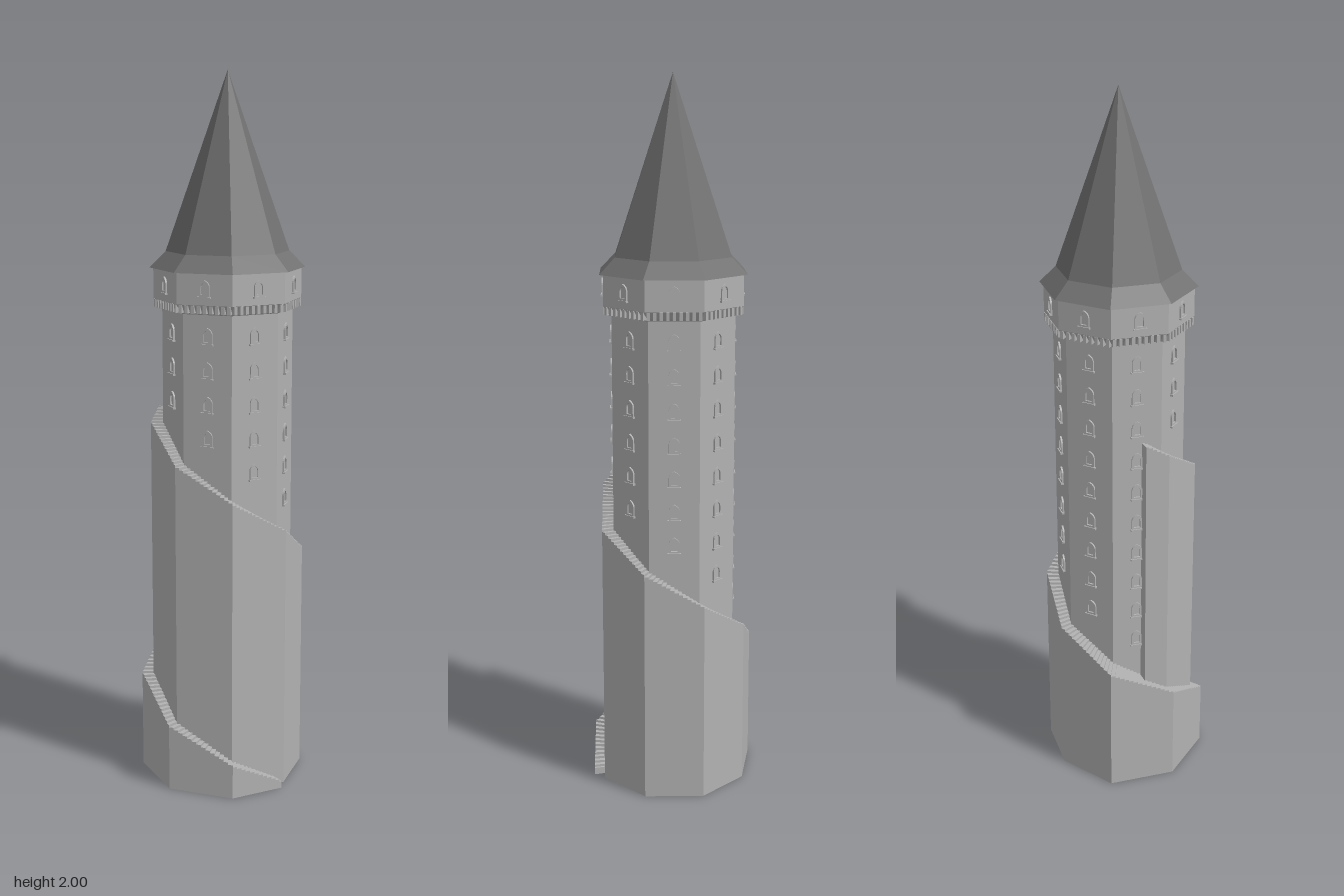
import * as THREE from 'three';
import { mergeGeometries } from 'three/addons/utils/BufferGeometryUtils.js';

const CX = 0.01, CZ = -0.015;          // tower axis
const EIGHTH = Math.PI / 4;
const K = 1 / Math.cos(Math.PI / 8);   // apothem to corner radius
const TURN_RISE = 0.75;                // climb of the stair per full turn

const stone = new THREE.MeshStandardMaterial({ color: 0xb2b2b2 });
stone.name = 'stone';
const slate = new THREE.MeshStandardMaterial({ color: 0x717171 });
slate.name = 'slate';

// Flat-faced octagonal solid from [apothem, y] pairs, bottom to top
function octagon(profile) {
  const pts = profile.map(([a, y]) => new THREE.Vector2(a * K, y));
  const g = new THREE.LatheGeometry(pts, 8, Math.PI / 8).toNonIndexed();
  g.computeVertexNormals();
  return g;
}

// Places a geometry, modelled facing +z, on octagon face f
function onFace(g, f, apothem, y, along = 0) {
  g.translate(along, y, apothem);
  g.rotateY(Math.PI / 2 - f * EIGHTH);
  return g;
}

// Stair position s counts octagon sides from the foot of the stair
const cornerApothem = (k) => (k <= 4 ? 0.23 : 0.2);
function stairPoint(s, inner) {
  const k = Math.floor(s + 1e-6), t = s - k;
  const corner = (i) => {
    const r = (inner ? 0.165 : cornerApothem(i)) * K;
    const a = (i + 0.5) * EIGHTH;
    return new THREE.Vector3(r * Math.cos(a), 0, r * Math.sin(a));
  };
  return corner(k).lerp(corner(k + 1), t);
}
const stairHeight = (s) => (TURN_RISE * s) / 8;

// Solid stair wrapping the shaft: outer wall, treads, risers, underside
function stairGeometry(start, end, perSide) {
  const pos = [];
  const quad = (...c) => [0, 1, 2, 0, 2, 3].forEach((i) => pos.push(...c[i]));
  const at = (p, y) => [p.x, y, p.z];
  let s = start, prev = 0;
  while (s < end - 1e-6) {
    const next = Math.min(end, (Math.floor(s * perSide + 1e-6) + 1) / perSide);
    const y = stairHeight(next);
    const ia = stairPoint(s, true), oa = stairPoint(s, false);
    // stay on the same side when the step ends at a corner
    const ib = stairPoint(next, true), ob = stairPoint(next, false);
    quad(at(oa, 0), at(oa, y), at(ob, y), at(ob, 0));
    quad(at(ia, y), at(ib, y), at(ob, y), at(oa, y));
    quad(at(oa, prev), at(ia, prev), at(ia, y), at(oa, y));
    quad(at(ia, 0), at(oa, 0), at(ob, 0), at(ib, 0));
    if (next >= end - 1e-6) quad(at(ib, 0), at(ob, 0), at(ob, y), at(ib, y));
    prev = y;
    s = next;
  }
  const g = new THREE.BufferGeometry();
  g.setAttribute('position', new THREE.Float32BufferAttribute(pos, 3));
  g.computeVertexNormals();
  return g;
}

// Pointed-arch outline, centred on its own middle
function arch(path, w, h) {
  path.moveTo(-w / 2, -h / 2);
  path.lineTo(w / 2, -h / 2);
  path.lineTo(w / 2, h * 0.1);
  path.quadraticCurveTo(w / 2, h * 0.35, 0, h / 2);
  path.quadraticCurveTo(-w / 2, h * 0.35, -w / 2, h * 0.1);
  path.closePath();
  return path;
}

// Window surround with a sill
function windowGeometry() {
  const shape = arch(new THREE.Shape(), 0.03, 0.046);
  shape.holes.push(arch(new THREE.Path(), 0.018, 0.032));
  const frame = new THREE.ExtrudeGeometry(shape, { depth: 0.005, bevelEnabled: false, curveSegments: 4 });
  const sill = new THREE.BoxGeometry(0.036, 0.005, 0.008).toNonIndexed();
  sill.translate(0, -0.0235, 0.004);
  return mergeGeometries([frame, sill]);
}

export function createModel() {
  const model = new THREE.Group();
  model.name = 'spiralStairTower';
  const add = (name, geometry, material) => {
    const mesh = new THREE.Mesh(geometry, material);
    mesh.name = name;
    mesh.position.set(CX, 0, CZ);
    model.add(mesh);
  };

  // Main body
  add('shaft', octagon([[0, 0], [0.168, 0], [0.168, 1.37]]), stone);
  add('gallery', octagon([[0.166, 1.355], [0.176, 1.365], [0.19, 1.385], [0.19, 1.47]]), stone);
  add('roof', octagon([[0.15, 1.47], [0.2, 1.47], [0.158, 1.515], [0, 2]]), slate);
  add('spiralStair', stairGeometry(0.18, 11.4, 14), stone);

  // Windows and corbels on all eight faces
  const shaftWindows = [], galleryWindows = [], corbels = [];
  for (let f = 1; f <= 8; f++) {
    const s = f - 0.5;
    const floor = stairHeight(s + 8 < 11.3 ? s + 8 : s);
    for (let y = 1.3; y > floor + 0.05; y -= 0.094) {
      shaftWindows.push(onFace(windowGeometry(), f, 0.168, y));
    }
    galleryWindows.push(onFace(windowGeometry(), f, 0.19, 1.43));
    for (let i = -4; i <= 4; i++) {
      corbels.push(onFace(new THREE.BoxGeometry(0.009, 0.022, 0.02), f, 0.181, 1.373, i * 0.0172));
    }
  }
  add('shaftWindows', mergeGeometries(shaftWindows), stone);
  add('galleryWindows', mergeGeometries(galleryWindows), stone);
  add('corbels', mergeGeometries(corbels), stone);

  return model;
}
